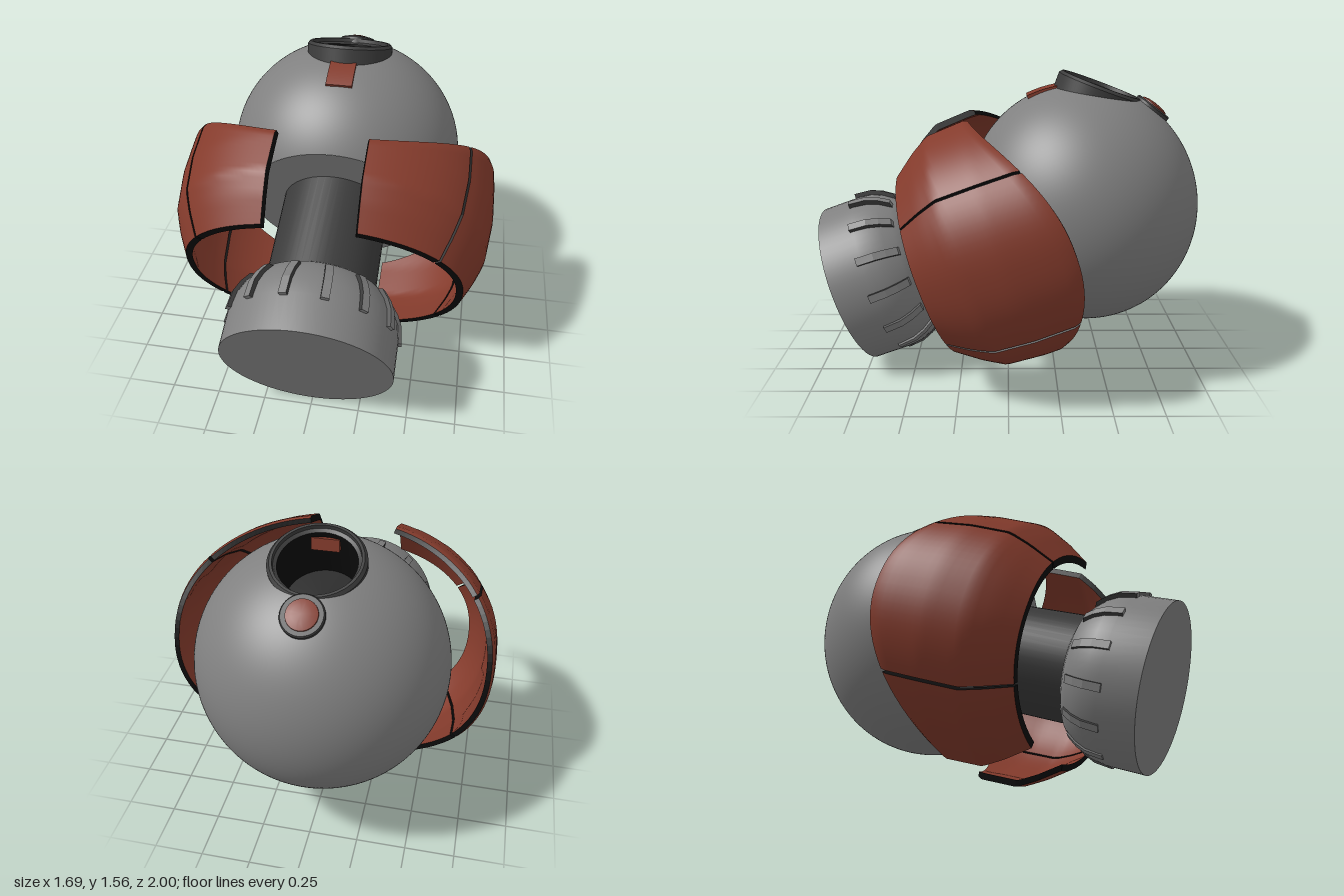
import * as THREE from 'three';
import { toCreasedNormals } from 'three/addons/utils/BufferGeometryUtils.js';

const mat = (name, color, side = THREE.FrontSide) => {
  const m = new THREE.MeshStandardMaterial({ color, side });
  m.name = name;
  return m;
};
const V = (x, y) => new THREE.Vector2(x, y);
const TILT = THREE.MathUtils.degToRad(20);
// Ball: radius, half length along the axis, centre shift, flat front position
const R = 0.63, HALF = 0.605, SHIFT = -0.025, CUT = 0.375;

// Lathe turned about y from [radius, height] pairs, with crisp corners
const lathe = (pts, seg = 64) =>
  toCreasedNormals(new THREE.LatheGeometry(pts.map(p => V(p[0], p[1])), seg), 0.5);

// Piecewise linear lookup in [s, value] rows
function lookup(rows, s) {
  for (let i = 1; i < rows.length; i++) {
    const [s0, v0] = rows[i - 1], [s1, v1] = rows[i];
    if (s <= s1 || i === rows.length - 1) return v0 + (v1 - v0) * (s - s0) / (s1 - s0);
  }
}
const WIDE = [[0.08, 0.832], [0.2, 0.842], [0.4, 0.845], [0.6, 0.82], [0.7, 0.78], [0.816, 0.72]];
const TALL = [[0.08, 0.645], [0.2, 0.652], [0.4, 0.657], [0.6, 0.648], [0.7, 0.59], [0.816, 0.505]];
const POWER = 1 / 1.1;

// Point on the squared-off elliptical guard: th around the axis, t from rear edge to front edge
function guardPoint(th, t, inset) {
  const rear = 0.08 + 0.31 * Math.sin(th) ** 2;
  const s = rear + (0.816 - rear) * t;
  const c = Math.cos(th) ** POWER, v = Math.sign(th) * Math.abs(Math.sin(th)) ** POWER;
  return [(lookup(WIDE, s) - inset) * c, (lookup(TALL, s) - inset) * v, s];
}
// Angle at which the guard is cut off straight at a given x
const cutAngle = x => t => Math.acos((x / lookup(WIDE, 0.37 + 0.446 * t)) ** (1 / POWER));

function gridGeometry(fn, nu, nt, flip) {
  const pos = [], index = [];
  for (let i = 0; i <= nu; i++) for (let j = 0; j <= nt; j++) pos.push(...fn(i / nu, j / nt));
  for (let i = 0; i < nu; i++) for (let j = 0; j < nt; j++) {
    const a = i * (nt + 1) + j, b = a + nt + 1;
    if (flip) index.push(a, a + 1, b, b, a + 1, b + 1);
    else index.push(a, b, a + 1, b, b + 1, a + 1);
  }
  const g = new THREE.BufferGeometry();
  g.setAttribute('position', new THREE.Float32BufferAttribute(pos, 3));
  g.setIndex(index);
  g.computeVertexNormals();
  return g;
}

// One guard plate: outer skin with a bevelled rear edge, inner skin and a dark rim
function guardPlate(name, from, to, red, black) {
  const NU = 20, NT = 20, THICK = 0.035, BEVEL = 0.01;
  const at = (inset, rearInset) => (u, t) => {
    const a = from(t), b = to(t);
    return guardPoint(a + (b - a) * u, t, t === 0 ? rearInset : inset);
  };
  const outer = at(0, BEVEL), inner = at(THICK, THICK), loop = [];
  for (let i = 0; i < NU; i++) loop.push([i / NU, 0]);
  for (let j = 0; j < NT; j++) loop.push([1, j / NT]);
  for (let i = NU; i > 0; i--) loop.push([i / NU, 1]);
  for (let j = NT; j > 0; j--) loop.push([0, j / NT]);
  const rim = [];
  loop.forEach((p, k) => {
    const q = loop[(k + 1) % loop.length];
    const o0 = outer(...p), o1 = outer(...q), i0 = inner(...p), i1 = inner(...q);
    rim.push(...o0, ...i0, ...o1, ...i0, ...i1, ...o1);
  });
  const rimGeo = new THREE.BufferGeometry();
  rimGeo.setAttribute('position', new THREE.Float32BufferAttribute(rim, 3));
  rimGeo.computeVertexNormals();
  const g = new THREE.Group();
  g.name = name;
  add(g, 'plateOuter', gridGeometry(outer, NU, NT, false), red);
  add(g, 'plateInner', gridGeometry(inner, NU, NT, true), red);
  add(g, 'plateRim', rimGeo, black);
  return g;
}

function add(parent, name, geo, material) {
  const m = new THREE.Mesh(geo, material);
  m.name = name;
  parent.add(m);
  return m;
}

export function createModel() {
  const grey = mat('grey', 0x808080);
  const dark = mat('darkGrey', 0x3b3b3b);
  const red = mat('rustRed', 0x843b2c);
  const black = mat('black', 0x0b0b0b, THREE.DoubleSide);
  const model = new THREE.Group();
  model.name = 'model';

  // Everything on the tilted main axis lives here; +z runs along the axis
  const body = new THREE.Group();
  body.name = 'body';
  body.position.set(0, 0.86, -0.37);
  body.rotation.x = TILT;
  model.add(body);
  body.updateMatrix();

  // Hatch collar frame
  const hatch = new THREE.Group();
  hatch.name = 'hatch';
  hatch.position.set(0, 1.49, -0.48);
  hatch.rotation.x = -TILT;
  model.add(hatch);
  hatch.updateMatrix();

  // Ball, flat in front, opened under the hatch
  const arc = [], end = Math.asin((CUT - SHIFT) / HALF);
  for (let i = 0; i <= 90; i++) {
    const a = -Math.PI / 2 + (end + Math.PI / 2) * i / 90;
    arc.push(V(Math.max(0, R * Math.cos(a)), SHIFT + HALF * Math.sin(a)));
  }
  const ball = new THREE.LatheGeometry(arc, 128).rotateX(Math.PI / 2);
  const toHatch = hatch.matrix.clone().invert().multiply(body.matrix);
  const p = ball.attributes.position, idx = ball.index.array, kept = [];
  for (let i = 0; i < idx.length; i += 3) {
    const c = new THREE.Vector3();
    for (let k = 0; k < 3; k++) c.add(new THREE.Vector3().fromBufferAttribute(p, idx[i + k]));
    c.divideScalar(3).applyMatrix4(toHatch);
    if (c.y < -0.3 || Math.hypot(c.x, c.z) > 0.204) kept.push(idx[i], idx[i + 1], idx[i + 2]);
  }
  ball.setIndex(kept);
  add(body, 'ball', ball, grey);
  add(body, 'ballFace', new THREE.CircleGeometry(R * Math.cos(end), 64).translate(0, 0, CUT), grey);

  // Neck and muzzle
  add(body, 'neck', new THREE.CylinderGeometry(0.283, 0.283, 0.6, 48).rotateX(Math.PI / 2).translate(0, 0, 0.64), dark);
  add(body, 'muzzle', lathe([[0, 0.88], [0.3, 0.88], [0.335, 0.9], [0.36, 0.93], [0.395, 0.98],
    [0.42, 1.04], [0.43, 1.11], [0.43, 1.302], [0, 1.302]]).rotateX(Math.PI / 2).translate(0, -0.008, 0), grey);

  // Ribs around the muzzle shoulder, with dark flanks
  const ribShape = new THREE.Shape([[0.92, 0.33], [1.0, 0.37], [1.13, 0.41], [1.13, 0.446],
    [1.04, 0.437], [0.98, 0.412], [0.925, 0.375]].map(q => V(q[0], q[1])));
  const ribGeo = new THREE.ExtrudeGeometry(ribShape, { depth: 0.04, bevelEnabled: false })
    .translate(0, 0, -0.02).rotateY(-Math.PI / 2);
  for (let i = 0; i < 14; i++) add(body, 'muzzleRib', ribGeo, [dark, grey]).rotation.z = (i + 0.5) * Math.PI / 7;

  // Guards: three plates per side, the second side turned half round the axis
  const GAP = 0.011, UP = 0.64, LOW = -0.56;
  const topCut = cutAngle(0.2), bottomCut = cutAngle(0.26);
  for (const side of ['left', 'right']) {
    const guard = new THREE.Group();
    guard.name = side + 'Guard';
    guard.add(
      guardPlate('endPlateA', () => UP + GAP, topCut, red, black),
      guardPlate('middlePlate', () => LOW + GAP, () => UP - GAP, red, black),
      guardPlate('endPlateB', t => -bottomCut(t), () => LOW - GAP, red, black));
    if (side === 'right') guard.rotation.z = Math.PI;
    body.add(guard);
  }

  // Hatch collar, bore and floor
  add(hatch, 'collar', lathe([[0.226, -0.2], [0.226, -0.015], [0.213, 0], [0.2, 0], [0.198, -0.02],
    [0.182, -0.03]]), dark);
  add(hatch, 'bore', lathe([[0.182, -0.03], [0.182, -0.3], [0, -0.3]]), black);

  // Curved tab in front of the collar
  const a0 = THREE.MathUtils.degToRad(5.5), a1 = THREE.MathUtils.degToRad(25.5);
  const tabShape = new THREE.Shape();
  tabShape.absarc(0, 0, 0.64, Math.PI / 2 - a1, Math.PI / 2 - a0, false);
  tabShape.absarc(0, 0, 0.58, Math.PI / 2 - a0, Math.PI / 2 - a1, true);
  const tabGeo = new THREE.ExtrudeGeometry(tabShape, { depth: 0.134, bevelEnabled: false })
    .translate(0, 0, -0.067).rotateY(-Math.PI / 2);
  add(model, 'frontTab', tabGeo, red).position.copy(body.position);

  // Button behind the collar
  const button = new THREE.Group();
  button.name = 'button';
  button.position.copy(body.position);
  button.rotation.x = THREE.MathUtils.degToRad(-37);
  model.add(button);
  add(button, 'buttonBase', lathe([[0.1, 0.6], [0.1, 0.64], [0.094, 0.648], [0, 0.648]], 40), dark);
  add(button, 'buttonCap', lathe([[0.074, 0.64], [0.072, 0.654], [0.045, 0.662], [0, 0.665]], 40), red);

  return model;
}
